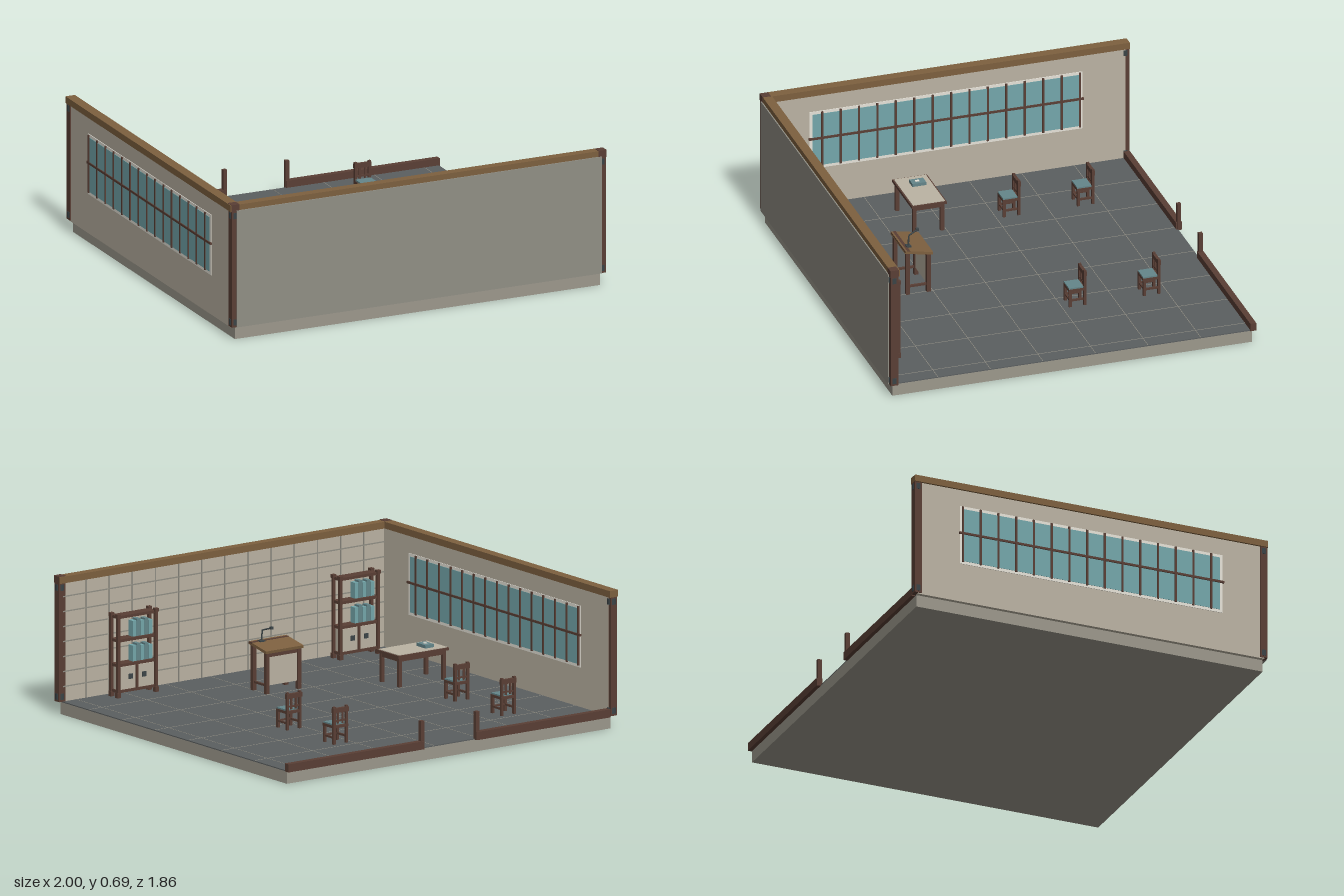
import * as THREE from 'three';

const material = (name, color) => {
  const m = new THREE.MeshStandardMaterial({ color });
  m.name = name;
  return m;
};

export function createModel() {
  const M = {
    plaster: material('plaster', 0xbbb3a3),
    stone: material('stone', 0x918f85),
    base: material('foundation', 0x9c988c),
    floor: material('slate', 0x5b5f60),
    dark: material('darkWood', 0x5a3f35),
    light: material('lightWood', 0x7d603f),
    glass: material('glass', 0x74a7ab),
    cloth: material('cloth', 0x64868a),
    white: material('white', 0xe8e4da),
    iron: material('iron', 0x3c4548),
  };
  const root = new THREE.Group();
  root.name = 'room';

  const group = (name, x = 0, y = 0, z = 0) => {
    const g = new THREE.Group();
    g.name = name;
    g.position.set(x, y, z);
    root.add(g);
    return g;
  };
  // Box given by its limits on each axis
  const box = (parent, name, mat, x0, x1, y0, y1, z0, z1) => {
    const mesh = new THREE.Mesh(new THREE.BoxGeometry(x1 - x0, y1 - y0, z1 - z0), mat);
    mesh.position.set((x0 + x1) / 2, (y0 + y1) / 2, (z0 + z1) / 2);
    mesh.name = name;
    parent.add(mesh);
    return mesh;
  };
  // Square upright centred on x, z
  const post = (parent, name, mat, x, z, w, y0, y1) =>
    box(parent, name, mat, x - w / 2, x + w / 2, y0, y1, z - w / 2, z + w / 2);
  const FY = 0.065;

  // Foundation and paved floor
  const ground = group('ground');
  box(ground, 'foundation', M.base, -0.97, 0.97, 0, 0.06, -0.91, 0.91);
  box(ground, 'floor', M.floor, -0.97, 0.97, 0.06, FY, -0.91, 0.91);
  for (let i = 0; i < 7; i++) {
    const x = -0.71 + i * 0.267;
    box(ground, 'floorJoint', M.stone, x - 0.0015, x + 0.0015, FY, FY + 0.001, -0.91, 0.89);
  }
  for (let i = 0; i < 6; i++) {
    const z = -0.65 + i * 0.266;
    box(ground, 'floorJoint', M.stone, -0.955, 0.97, FY, FY + 0.001, z - 0.0015, z + 0.0015);
  }

  // Front wall, plaster inside with a grid of joints
  const front = group('frontWall');
  box(front, 'wallOutside', M.stone, -0.97, 0.97, FY, 0.655, 0.9, 0.932);
  box(front, 'wallInside', M.plaster, -0.97, 0.97, FY, 0.655, 0.89, 0.9);
  for (let i = 1; i < 8; i++) {
    const y = FY + i * 0.074;
    box(front, 'wallJoint', M.stone, -0.955, 0.97, y - 0.003, y + 0.003, 0.887, 0.891);
  }
  for (let i = 1; i < 14; i++) {
    const x = -0.97 + i * 0.1386;
    box(front, 'wallJoint', M.stone, x - 0.003, x + 0.003, FY, 0.655, 0.887, 0.891);
  }

  // Side wall with a long window seen from both faces
  const side = group('sideWall');
  box(side, 'wall', M.plaster, -0.99, -0.955, 0.06, 0.655, -0.91, 0.91);
  box(side, 'windowFrame', M.white, -0.993, -0.952, 0.26, 0.565, -0.69, 0.69);
  box(side, 'windowGlass', M.glass, -0.995, -0.95, 0.275, 0.55, -0.675, 0.675);
  for (let i = 0; i < 15; i++) {
    const z = -0.677 + i * 0.0932;
    box(side, 'windowBar', M.dark, -0.999, -0.945, 0.27, 0.562, z - 0.005, z + 0.005);
  }
  box(side, 'windowCrossbar', M.dark, -1, -0.944, 0.416, 0.427, -0.695, 0.695);

  // Top beams, corner posts and their iron bands
  const frame = group('frame');
  box(frame, 'frontBeam', M.light, -0.95, 0.995, 0.65, 0.683, 0.88, 0.926);
  box(frame, 'sideBeam', M.light, -1, -0.95, 0.65, 0.683, -0.93, 0.926);
  for (const [x, z] of [[-0.975, 0.907], [-0.975, -0.91], [0.975, 0.907]]) {
    post(frame, 'cornerPost', M.dark, x, z, 0.038, FY, 0.65);
    if (z > 0) post(frame, 'postCap', M.dark, x, z, 0.042, 0.65, 0.685);
    for (const y of [0.09, 0.628]) {
      const band = new THREE.Mesh(new THREE.CylinderGeometry(0.023, 0.023, 0.03, 8), M.iron);
      band.position.set(x, y, z);
      band.rotation.y = Math.PI / 8;
      band.name = 'postBand';
      frame.add(band);
    }
  }

  // Low rear sill with a doorway
  const rear = group('rearSill');
  box(rear, 'sill', M.dark, -0.955, -0.155, 0.06, 0.1, -0.93, -0.9);
  box(rear, 'sill', M.dark, 0.16, 0.975, 0.06, 0.1, -0.93, -0.9);
  for (const x of [-0.163, 0.168]) post(rear, 'doorPost', M.dark, x, -0.915, 0.02, 0.06, 0.2);

  // Chairs facing the front
  const chair = (x, z) => {
    const g = group('chair', x, FY, z);
    for (const s of [-1, 1]) {
      const px = s * 0.037;
      post(g, 'frontLeg', M.dark, px, 0.037, 0.013, 0, 0.085);
      post(g, 'backPost', M.dark, px, -0.037, 0.013, 0, 0.185);
      box(g, 'sideStretcher', M.dark, px - 0.004, px + 0.004, 0.028, 0.038, -0.037, 0.037);
      box(g, 'backSlat', M.dark, s * 0.014 - 0.005, s * 0.014 + 0.005, 0.1, 0.165, -0.04, -0.034);
    }
    box(g, 'frontStretcher', M.dark, -0.037, 0.037, 0.03, 0.038, 0.033, 0.041);
    box(g, 'seat', M.dark, -0.044, 0.044, 0.08, 0.093, -0.044, 0.044);
    box(g, 'cushion', M.cloth, -0.041, 0.041, 0.093, 0.1, -0.03, 0.043);
    box(g, 'topRail', M.dark, -0.046, 0.046, 0.155, 0.178, -0.046, -0.031);
    box(g, 'lowerRail', M.dark, -0.037, 0.037, 0.11, 0.118, -0.041, -0.033);
  };
  for (const x of [-0.58, 0.425]) for (const z of [-0.57, -0.195]) chair(x, z);

  // Table with an inlaid top and a book
  const table = group('table', -0.64, FY, 0.238);
  for (const sx of [-1, 1]) {
    for (const sz of [-1, 1]) post(table, 'leg', M.dark, sx * 0.132, sz * 0.07, 0.018, 0, 0.145);
  }
  box(table, 'apron', M.dark, -0.138, 0.138, 0.125, 0.145, -0.076, 0.076);
  box(table, 'top', M.dark, -0.152, 0.152, 0.145, 0.158, -0.088, 0.088);
  box(table, 'inlay', M.plaster, -0.145, 0.145, 0.158, 0.161, -0.081, 0.081);
  box(table, 'book', M.cloth, -0.09, -0.04, 0.161, 0.177, -0.048, 0.022);
  box(table, 'bookLabel', M.white, -0.073, -0.057, 0.177, 0.179, -0.02, 0.0);

  // Tall writing desk with a sloping top
  const desk = group('writingDesk', -0.007, FY, 0.487);
  for (const sx of [-1, 1]) {
    post(desk, 'rearLeg', M.dark, sx * 0.095, -0.052, 0.02, 0, 0.21);
    post(desk, 'frontLeg', M.dark, sx * 0.095, 0.053, 0.02, 0, 0.228);
    box(desk, 'stretcher', M.dark, sx * 0.095 - 0.006, sx * 0.095 + 0.006, 0.036, 0.046, -0.05, 0.05);
  }
  box(desk, 'panel', M.plaster, -0.087, 0.087, 0.04, 0.18, -0.054, -0.046);
  box(desk, 'panelRail', M.dark, -0.09, 0.09, 0.18, 0.2, -0.058, -0.046);
  const top = box(desk, 'slopingTop', M.light, -0.112, 0.112, 0.213, 0.227, -0.071, 0.071);
  top.rotation.x = -0.18;
  box(desk, 'topLedge', M.dark, -0.112, 0.112, 0.225, 0.238, 0.045, 0.07);

  // Jointed lamp on the desk
  const rod = (a, b, r) => {
    const path = new THREE.LineCurve3(new THREE.Vector3(...a), new THREE.Vector3(...b));
    const mesh = new THREE.Mesh(new THREE.TubeGeometry(path, 1, r, 6), M.iron);
    mesh.name = 'lampArm';
    desk.add(mesh);
  };
  box(desk, 'lampFoot', M.iron, 0.045, 0.073, 0.236, 0.243, 0.026, 0.05);
  rod([0.06, 0.24, 0.038], [0.057, 0.295, 0.034], 0.004);
  rod([0.057, 0.293, 0.034], [0.04, 0.31, -0.015], 0.004);
  box(desk, 'lampHead', M.iron, 0.032, 0.047, 0.304, 0.316, -0.022, -0.008);

  // Tall shelves with books above and a cupboard below
  const shelf = (x) => {
    const g = group('bookcase', x, FY, 0.82);
    for (const sx of [-1, 1]) {
      for (const sz of [-1, 1]) {
        post(g, 'post', M.dark, sx * 0.113, sz * 0.027, 0.015, 0, 0.41);
        post(g, 'foot', M.dark, sx * 0.113, sz * 0.027, 0.021, 0, 0.025);
        post(g, 'postCap', M.dark, sx * 0.113, sz * 0.027, 0.021, 0.395, 0.412);
      }
      box(g, 'door', M.plaster, sx * 0.053 - 0.044, sx * 0.053 + 0.044, 0.037, 0.148, -0.028, -0.022);
      box(g, 'doorPlate', M.iron, sx * 0.04 - 0.012, sx * 0.04 + 0.012, 0.085, 0.11, -0.032, -0.028);
    }
    box(g, 'cupboard', M.plaster, -0.107, 0.107, 0.032, 0.152, -0.022, 0.022);
    box(g, 'doorDivider', M.dark, -0.006, 0.006, 0.035, 0.15, -0.03, -0.022);
    for (const y of [0.022, 0.15, 0.272, 0.388]) {
      box(g, 'board', M.dark, -0.115, 0.115, y, y + 0.014, -0.028, 0.028);
    }
    for (const y of [0.164, 0.286]) {
      for (let i = 0; i < 5; i++) {
        const bx = -0.1 + i * 0.024;
        const h = 0.07 + ((i * 3) % 5) * 0.004;
        box(g, 'book', i % 2 ? M.cloth : M.glass, bx, bx + 0.021, y, y + h, -0.016, 0.018);
      }
    }
  };
  shelf(-0.732);
  shelf(0.598);

  return root;
}
